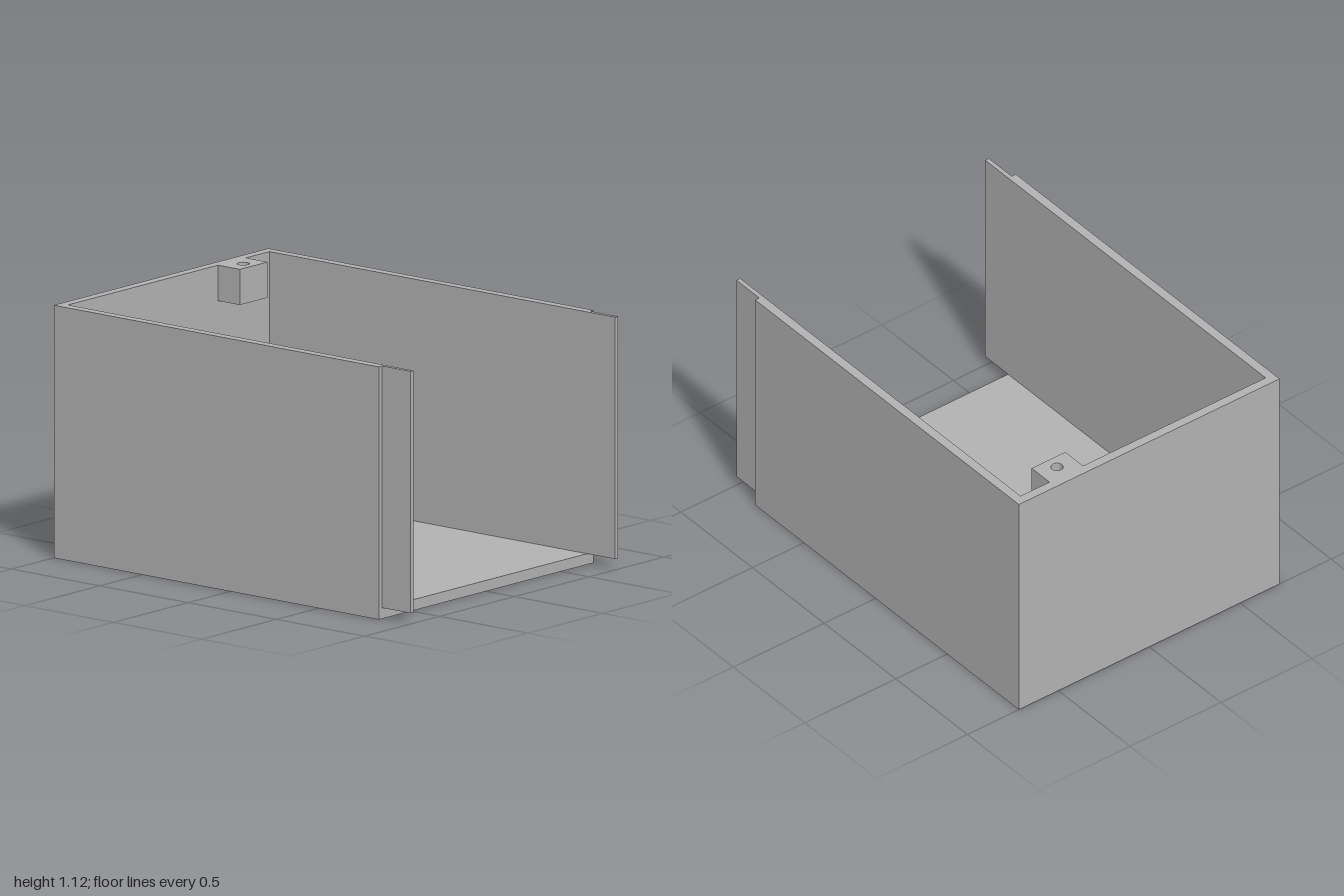
import * as THREE from 'three';
import { toCreasedNormals } from 'three/addons/utils/BufferGeometryUtils.js';

const X0 = -1, X1 = 0.84, XT = 1;      // closed end, open end, tongue tips
const Z = 0.717, ZI = 0.674, ZT = 0.694; // outer wall, inner wall, tongue outer face
const H = 1.12, FLOOR = 0.048, WALL = 0.043;

// Extrudes a plan drawn as (x, -z) upwards from y0 to y1
function extrudeUp(shape, y0, y1) {
  const geo = new THREE.ExtrudeGeometry(shape, { depth: y1 - y0, bevelEnabled: false, curveSegments: 24 });
  geo.rotateX(-Math.PI / 2);
  geo.translate(0, y0, 0);
  return toCreasedNormals(geo, 0.6);
}

export function createModel() {
  const group = new THREE.Group();
  const grey = new THREE.MeshStandardMaterial({ color: 0xb2b2b2 });
  grey.name = 'grey plastic';

  const add = (name, geo) => {
    const mesh = new THREE.Mesh(geo, grey);
    mesh.name = name;
    group.add(mesh);
    return mesh;
  };

  // Floor slab
  add('floor', new THREE.BoxGeometry(X1 - X0, FLOOR, 2 * Z))
    .position.set((X0 + X1) / 2, FLOOR / 2, 0);

  // Three walls in one U-shaped plan, with a thin tongue at each open end
  const half = [[X0, Z], [X1, Z], [X1, ZT], [XT, ZT], [XT, ZI], [X0 + WALL, ZI]];
  const mirrored = half.map(([x, z]) => [x, -z]).reverse();
  const plan = [...half, ...mirrored].map(([x, z]) => new THREE.Vector2(x, -z));
  add('walls', extrudeUp(new THREE.Shape(plan), FLOOR, H));

  // Screw boss on the closed end wall, with its hole
  const bx0 = X0 + WALL, bx1 = -0.833, bz0 = -0.515, bz1 = -0.33;
  const boss = new THREE.Shape([
    new THREE.Vector2(bx0, -bz1), new THREE.Vector2(bx1, -bz1),
    new THREE.Vector2(bx1, -bz0), new THREE.Vector2(bx0, -bz0),
  ]);
  const hole = new THREE.Path();
  hole.absarc(-0.893, 0.423, 0.027, 0, Math.PI * 2, true);
  boss.holes.push(hole);
  add('screwBoss', extrudeUp(boss, 0.962, H));

  return group;
}
